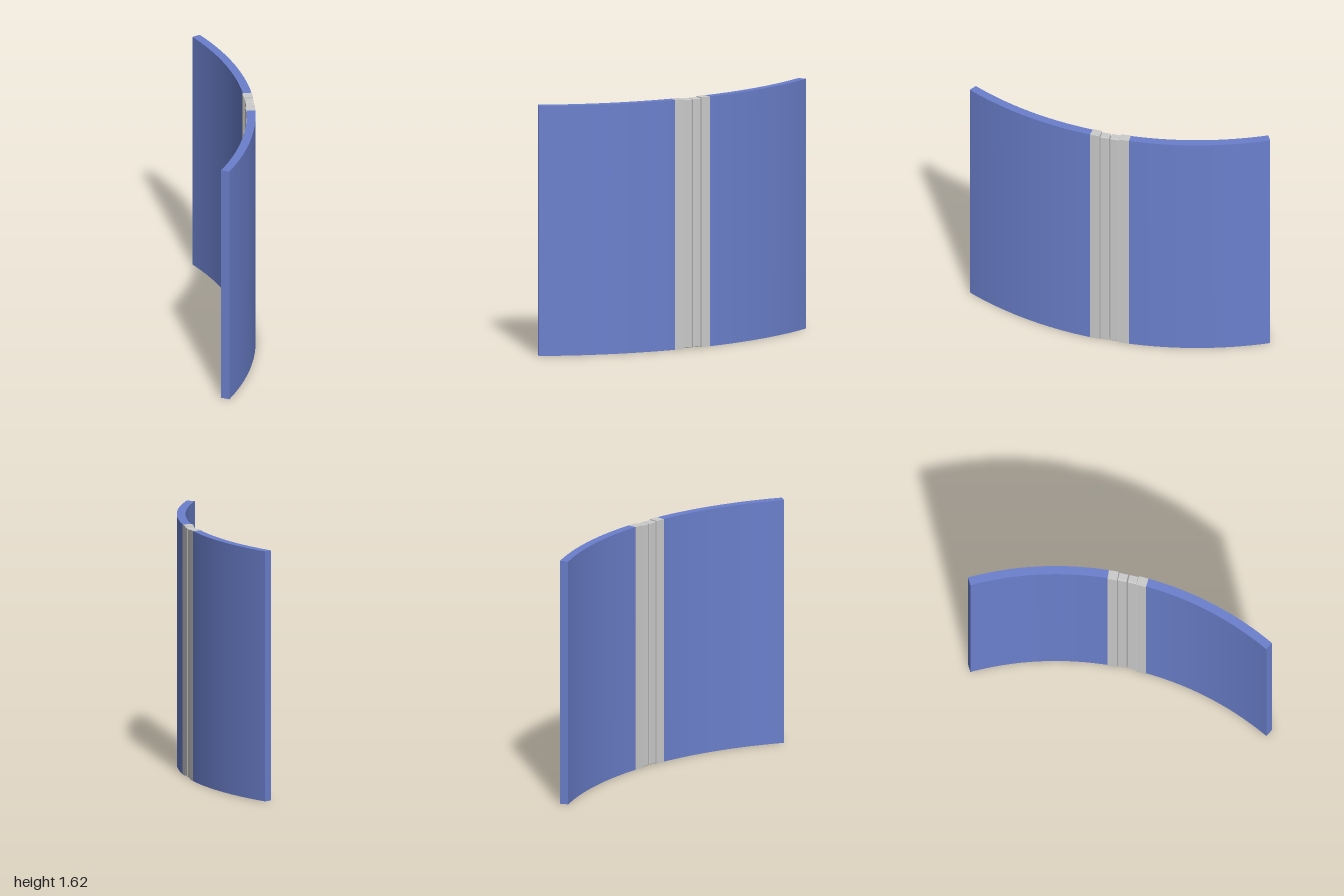
import * as THREE from 'three';
import { toCreasedNormals } from 'three/addons/utils/BufferGeometryUtils.js';
import { RoundedBoxGeometry } from 'three/addons/geometries/RoundedBoxGeometry.js';

const HEIGHT = 1.625;
const RADIUS = 2.088;          // outer radius of the curved wall
const CENTER_X = 0.151 - RADIUS; // axis of the curve
const THICKNESS = 0.056;

// Upright wall following the arc between two z positions
function curvedWall(z0, z1, thickness, segments) {
  const a0 = Math.asin(z0 / RADIUS), a1 = Math.asin(z1 / RADIUS);
  const shape = new THREE.Shape();
  shape.absarc(0, 0, RADIUS, a0, a1, false);
  shape.absarc(0, 0, RADIUS - thickness, a1, a0, true);
  shape.closePath();
  const geometry = new THREE.ExtrudeGeometry(shape, { depth: HEIGHT, bevelEnabled: false, curveSegments: segments });
  geometry.rotateX(-Math.PI / 2);
  geometry.translate(CENTER_X, 0, 0);
  return toCreasedNormals(geometry, 0.5);
}

export function createModel() {
  const group = new THREE.Group();
  const blue = new THREE.MeshStandardMaterial({ color: 0x6b80cd });
  const grey = new THREE.MeshStandardMaterial({ color: 0xcccccc });

  const add = (name, geometry, material) => {
    const mesh = new THREE.Mesh(geometry, material);
    mesh.name = name;
    group.add(mesh);
    return mesh;
  };

  for (const [side, s] of [['front', 1], ['back', -1]]) {
    // Arc limits run from low z to high z on either side
    const span = (a, b) => (s > 0 ? [a, b] : [-b, -a]);

    // Curved panel, mirrored in arc angle by extrusion along y
    add(side + 'Panel', curvedWall(...span(-1, -0.13).map((v) => v), THICKNESS, 32), blue);

    // Full-height edge strip closing the panel
    add(side + 'EdgeStrip', curvedWall(...span(-0.13, -0.066), 0.061, 4), grey);

    // Slim centre strip with softened edges, slightly shorter than the wall
    const strip = add(side + 'CentreStrip', new RoundedBoxGeometry(0.054, HEIGHT - 0.008, 0.06, 2, 0.005), grey);
    strip.position.set(0.122, HEIGHT / 2, s * 0.033);
  }
  return group;
}
